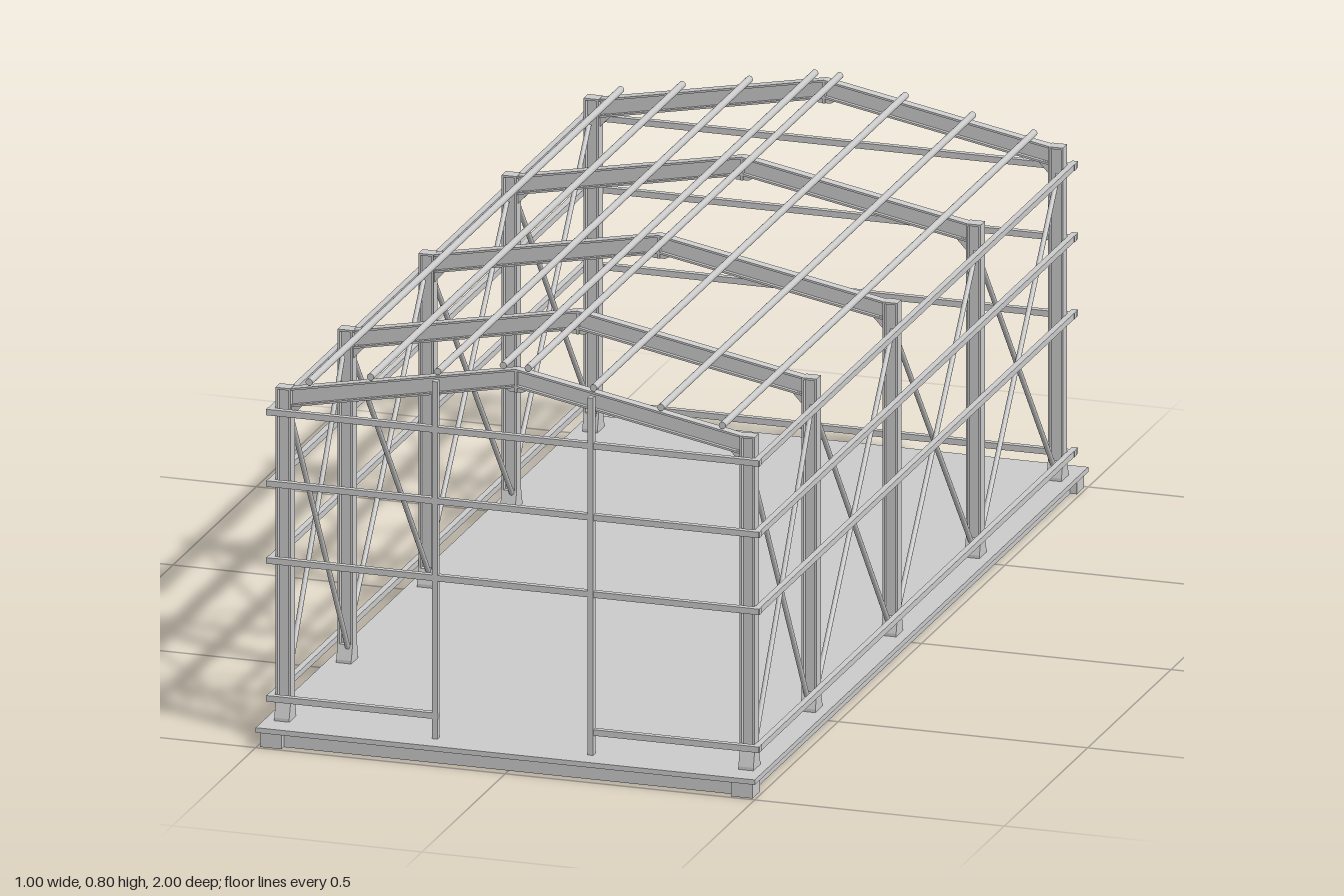
import * as THREE from 'three';

const material = new THREE.MeshStandardMaterial({ color: 0xcccccc, flatShading: true });
const smooth = new THREE.MeshStandardMaterial({ color: 0xcccccc });

export function createModel() {
  const model = new THREE.Group();
  model.name = 'steelFrameHall';

  const add = (parent, name, geometry, mat = material) => {
    const mesh = new THREE.Mesh(geometry, mat);
    mesh.name = name;
    parent.add(mesh);
    return mesh;
  };
  const box = (parent, name, w, h, d, x, y, z) => {
    const mesh = add(parent, name, new THREE.BoxGeometry(w, h, d));
    mesh.position.set(x, y, z);
    return mesh;
  };
  // Plate outlined in x/y, centred on z = 0
  const plate = (parent, name, points, depth) => {
    const shape = new THREE.Shape(points.map(([x, y]) => new THREE.Vector2(x, y)));
    const geometry = new THREE.ExtrudeGeometry(shape, { depth, bevelEnabled: false });
    geometry.translate(0, 0, -depth / 2);
    return add(parent, name, geometry);
  };
  // Round bar between two points
  const rod = (parent, name, a, b, r) => {
    const dir = b.clone().sub(a);
    const mesh = add(parent, name, new THREE.CylinderGeometry(r, r, dir.length(), 12), smooth);
    mesh.position.copy(a).add(b).multiplyScalar(0.5);
    mesh.quaternion.setFromUnitVectors(new THREE.Vector3(0, 1, 0), dir.normalize());
    return mesh;
  };

  // Foundation: floor plate, recessed slab and corner footings
  box(model, 'floorPlate', 1, 0.01, 2, 0, 0.035, 0);
  box(model, 'slab', 0.96, 0.03, 1.96, 0, 0.015, 0);
  for (const x of [-1, 1]) for (const z of [-1, 1])
    box(model, 'cornerFooting', 0.043, 0.03, 0.043, x * 0.472, 0.015, z * 0.972);

  // Portal frames
  const frames = [0.928, 0.556, 0.072, -0.428, -0.92];
  const t = 0.004;
  const roofTop = (x) => 0.79 - 0.19 * x;
  const rafterDepth = 0.037;
  for (const z of frames) {
    const frame = new THREE.Group();
    frame.name = 'portalFrame';
    frame.position.z = z;
    model.add(frame);
    for (const s of [-1, 1]) {
      // H-section column
      const column = new THREE.Group();
      column.name = 'column';
      frame.add(column);
      const mid = 0.3725, h = 0.665;
      box(column, 'outerFlange', t, h, 0.026, s * 0.478, mid, 0);
      box(column, 'innerFlange', t, h, 0.026, s * 0.452, mid, 0);
      box(column, 'columnWeb', 0.024, h, t, s * 0.465, mid, 0);
      box(column, 'capPlate', 0.03, t, 0.026, s * 0.465, 0.703, 0);
      // Flared base shoe
      const shoe = plate(column, 'columnBase',
        [[-0.021, 0.04], [0.021, 0.04], [0.021, 0.046], [0.013, 0.075], [-0.013, 0.075], [-0.021, 0.046]], 0.03);
      shoe.rotation.y = Math.PI / 2;
      shoe.position.x = s * 0.465;
      // I-section rafter
      const rafter = new THREE.Group();
      rafter.name = 'rafter';
      frame.add(rafter);
      const strip = (name, top, bottom, depth) => plate(rafter, name, [
        [0, roofTop(0) - top], [s * 0.45, roofTop(0.45) - top],
        [s * 0.45, roofTop(0.45) - bottom], [0, roofTop(0) - bottom]], depth);
      strip('topFlange', 0, t, 0.02);
      strip('rafterWeb', t, rafterDepth - t, t);
      strip('bottomFlange', rafterDepth - t, rafterDepth, 0.02);
      // Eave gusset
      plate(frame, 'eaveGusset', [[s * 0.45, 0.648], [s * 0.45, 0.672], [s * 0.424, 0.676]], 0.012);
    }
    // Ridge joint
    plate(frame, 'ridgeGusset', [[-0.025, 0.75], [-0.012, 0.743], [0.012, 0.743], [0.025, 0.75], [0, 0.755]], 0.012);
    box(frame, 'ridgePlate', 0.005, 0.045, 0.02, 0, 0.766, 0);
  }

  // Roof purlins
  for (const s of [-1, 1]) for (const [x, y] of [[0.025, 0.795], [0.156, 0.769], [0.291, 0.744], [0.414, 0.721]])
    rod(model, 'purlin', new THREE.Vector3(s * x, y, -0.932), new THREE.Vector3(s * x, y, 0.938), 0.007);

  // Wall rails, with a door gap at the bottom of the front
  for (const y of [0.085, 0.361, 0.515, 0.658]) {
    for (const s of [-1, 1]) box(model, 'sideRail', 0.012, 0.012, 1.915, s * 0.487, y, -0.002);
    box(model, 'backRail', 0.988, 0.012, 0.012, 0, y, -0.94);
    if (y < 0.1) {
      for (const s of [-1, 1]) box(model, 'frontRail', 0.344, 0.012, 0.012, s * 0.322, y, 0.949);
    } else box(model, 'frontRail', 0.988, 0.012, 0.012, 0, y, 0.949);
  }

  // Front posts
  for (const s of [-1, 1]) box(model, 'frontPost', 0.011, 0.715, 0.014, s * 0.156, 0.3975, 0.95);

  // Cross bracing in every side bay
  for (let i = 0; i < frames.length - 1; i++) {
    const a = frames[i] - 0.012, b = frames[i + 1] + 0.012;
    for (const s of [-1, 1]) {
      rod(model, 'brace', new THREE.Vector3(s * 0.47, 0.07, a), new THREE.Vector3(s * 0.47, 0.652, b), 0.005);
      rod(model, 'brace', new THREE.Vector3(s * 0.46, 0.652, a), new THREE.Vector3(s * 0.46, 0.07, b), 0.005);
    }
  }
  return model;
}
